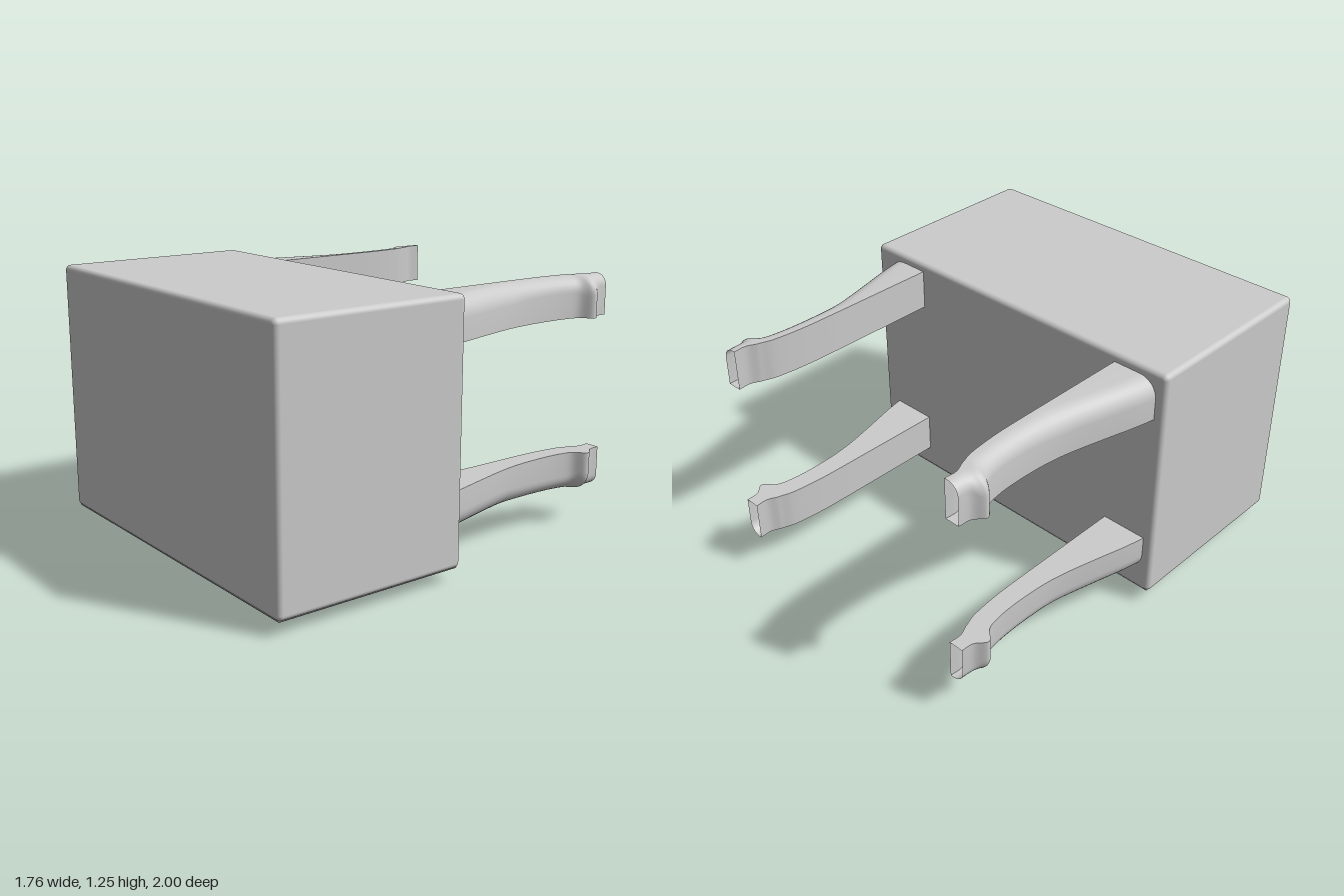
import * as THREE from 'three';
import { toCreasedNormals } from 'three/addons/utils/BufferGeometryUtils.js';
import { RoundedBoxGeometry } from 'three/addons/geometries/RoundedBoxGeometry.js';

// Leg profile as (outer x, inner x, z), from the cabinet to the flared foot
const LEG_PROFILE = [
  [0.815, 0.585, 0.08], [0.79, 0.585, -0.04], [0.752, 0.585, -0.185], [0.705, 0.585, -0.38],
  [0.688, 0.585, -0.5], [0.682, 0.587, -0.65], [0.688, 0.595, -0.76], [0.705, 0.605, -0.83],
  [0.752, 0.62, -0.875], [0.755, 0.625, -0.892], [0.718, 0.645, -0.94], [0.712, 0.642, -1],
].map(p => new THREE.Vector3(...p));

const MID_X = -0.02, MID_Y = 0.695, INNER_Y = 0.325, OUTER_Y = 0.517;

// Rectangular section with its outermost corner rounded
function legSection(xo, xi) {
  const r = Math.min(0.09, (xo - xi) * 0.8);
  const ring = [[xi, INNER_Y], [xo, INNER_Y]];
  for (let k = 0; k <= 8; k++) {
    const a = (k / 8) * Math.PI / 2;
    ring.push([xo - r + r * Math.cos(a), OUTER_Y - r + r * Math.sin(a)]);
  }
  ring.push([xi, OUTER_Y]);
  return ring;
}

// Loft the section along the profile, mirrored by sx and sy; the foot end stays open
function legGeometry(sx, sy) {
  const rows = new THREE.CatmullRomCurve3(LEG_PROFILE).getPoints(55);
  const positions = [], index = [];
  let n = 0;
  rows.forEach((p, i) => {
    const ring = legSection(p.x, p.y);
    n = ring.length;
    ring.forEach(([x, y]) => positions.push(MID_X + sx * x, MID_Y + sy * y, p.z));
    if (i === 0) return;
    for (let j = 0; j < n; j++) {
      const k = (j + 1) % n;
      const a = (i - 1) * n + j, b = (i - 1) * n + k, c = i * n + k, d = i * n + j;
      if (sx * sy > 0) index.push(a, d, c, a, c, b);
      else index.push(a, c, d, a, b, c);
    }
  });
  const g = new THREE.BufferGeometry();
  g.setAttribute('position', new THREE.Float32BufferAttribute(positions, 3));
  g.setIndex(index);
  return toCreasedNormals(g, 0.6);
}

export function createModel() {
  const group = new THREE.Group();
  const grey = new THREE.MeshStandardMaterial({ color: 0xcccccc });
  const greyDouble = new THREE.MeshStandardMaterial({ color: 0xcccccc, side: THREE.DoubleSide });

  const add = (name, geometry, x = 0, y = 0, z = 0, material = grey, parent = group) => {
    const mesh = new THREE.Mesh(geometry, material);
    mesh.name = name;
    mesh.position.set(x, y, z);
    parent.add(mesh);
    return mesh;
  };

  // Cabinet lying with its drawer side down
  add('cabinet', new RoundedBoxGeometry(1.76, 1.185, 0.94, 4, 0.025), 0, 0.6575, 0.53);

  // Slightly domed drawer front on the underside
  const hw = 0.75, hd = 0.345;
  const outline = new THREE.Shape([
    new THREE.Vector2(-hw, -hd), new THREE.Vector2(hw, -hd),
    new THREE.Vector2(hw, hd), new THREE.Vector2(-hw, hd),
  ]);
  const panel = new THREE.ExtrudeGeometry(outline, {
    depth: 0.004, bevelThickness: 0.018, bevelSize: 0.115, bevelSegments: 5,
  });
  panel.rotateX(Math.PI / 2);
  add('drawerFront', toCreasedNormals(panel, 0.5), 0, 0.069, 0.53);

  // Two bar handles, each a bar on two posts
  [0.7, 0.355].forEach((z, i) => {
    const handle = new THREE.Group();
    handle.name = i ? 'lowerHandle' : 'upperHandle';
    add('handleBar', new THREE.BoxGeometry(0.38, 0.022, 0.03), 0, 0.011, z, grey, handle);
    for (const s of [-1, 1]) {
      add('handlePost', new THREE.BoxGeometry(0.02, 0.035, 0.03), s * 0.18, 0.0375, z, grey, handle);
    }
    group.add(handle);
  });

  // Four curved legs reaching backwards
  for (const sx of [1, -1]) {
    for (const sy of [1, -1]) {
      const name = (sy > 0 ? 'back' : 'front') + (sx > 0 ? 'Left' : 'Right') + 'Leg';
      add(name, legGeometry(sx, sy), 0, 0, 0, greyDouble);
    }
  }
  return group;
}
